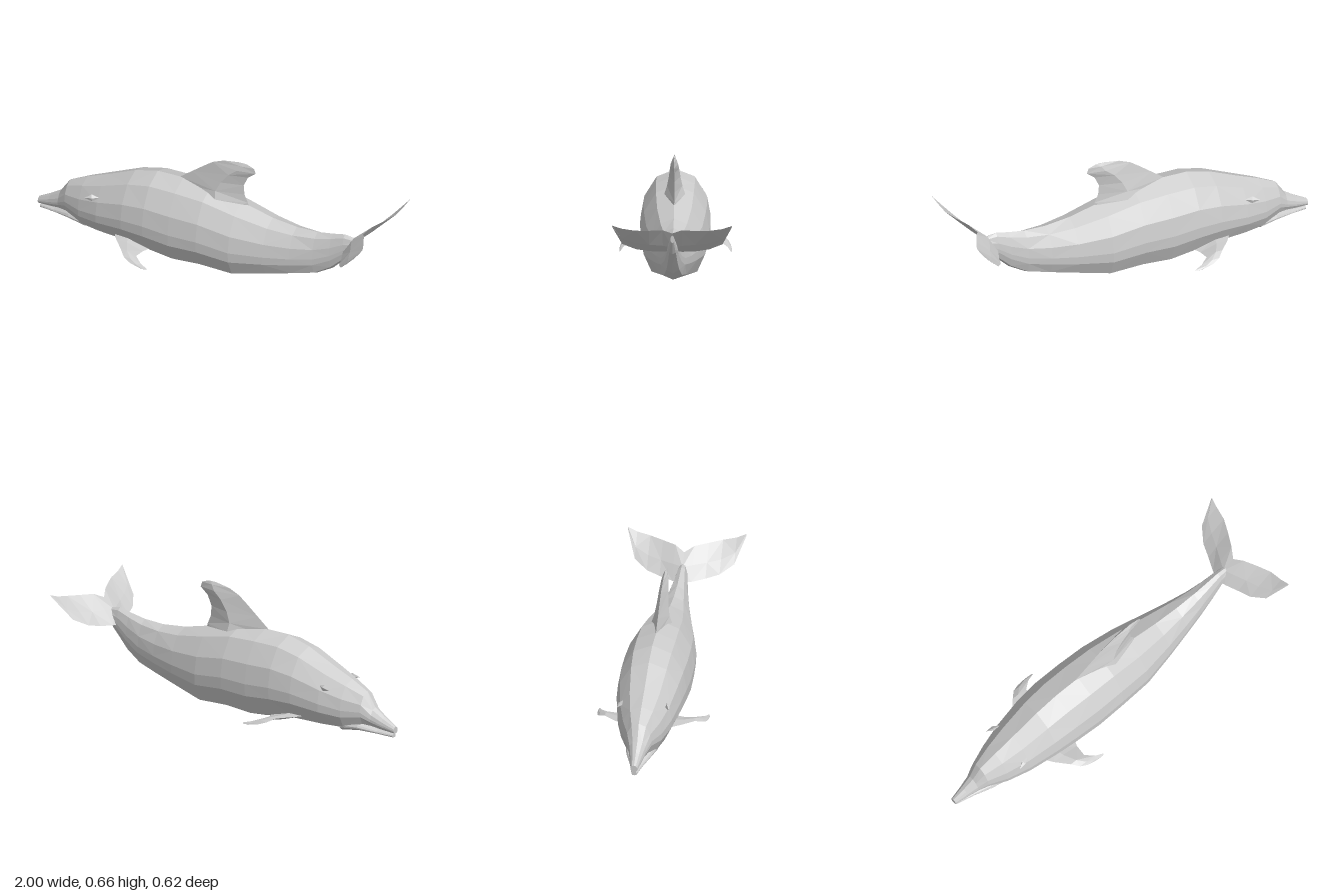
import * as THREE from 'three';

const skin = new THREE.MeshStandardMaterial({ color: 0xcccccc });
skin.name = 'grey skin';

// Closed faceted skin through rings of [x, y, z] points, with fan caps
function loft(name, rings) {
  const tris = [];
  const n = rings[0].length;
  for (let i = 0; i < rings.length - 1; i++) {
    for (let j = 0; j < n; j++) {
      const k = (j + 1) % n;
      const a = rings[i][j], b = rings[i][k], c = rings[i + 1][k], d = rings[i + 1][j];
      if ((i + j) % 2) tris.push([a, b, c], [a, c, d]);
      else tris.push([a, b, d], [b, c, d]);
    }
  }
  const first = rings[0], last = rings[rings.length - 1];
  for (let j = 1; j < n - 1; j++) {
    tris.push([first[0], first[j + 1], first[j]], [last[0], last[j], last[j + 1]]);
  }
  // Signed volume tells whether the faces point outward
  let volume = 0;
  for (const [a, b, c] of tris) {
    volume += new THREE.Vector3(...a).dot(new THREE.Vector3(...b).cross(new THREE.Vector3(...c)));
  }
  if (volume < 0) tris.forEach((t) => t.reverse());
  const geometry = new THREE.BufferGeometry();
  geometry.setAttribute('position', new THREE.Float32BufferAttribute(tris.flat(2), 3));
  geometry.computeVertexNormals();
  const mesh = new THREE.Mesh(geometry, skin);
  mesh.name = name;
  return mesh;
}

// Half cross-section as fractions of half width and height, keel to back
const HALF = [[0, 0], [0.73, 0.1], [0.98, 0.32], [1, 0.46], [0.9, 0.68], [0.55, 0.91], [0, 1]];

// Upright symmetric ring at x
function bodyRing([x, bottom, top, w]) {
  const side = HALF.map(([u, v]) => [x, bottom + v * (top - bottom), u * w]);
  const other = side.slice(1, -1).reverse().map(([px, py, pz]) => [px, py, -pz]);
  return [...side, ...other];
}

// Diamond ring between a leading and a trailing point of a horizontal fin
function finRing([z, lx, ly, tx, ty, t], side) {
  const mx = lx * 0.6 + tx * 0.4, my = ly * 0.6 + ty * 0.4;
  return [[lx, ly, z * side], [mx, my + t, z * side], [tx, ty, z * side], [mx, my - t, z * side]];
}

export function createModel() {
  const model = new THREE.Group();
  model.name = 'dolphin';

  // Body: x, bottom, top, half width
  model.add(loft('body', [
    [-1, 0.073, 0.11, 0.018], [-0.93, 0.078, 0.15, 0.032], [-0.87, 0.086, 0.19, 0.046],
    [-0.82, 0.085, 0.265, 0.068], [-0.72, 0.045, 0.315, 0.108], [-0.6, 0.042, 0.365, 0.142],
    [-0.44, 0.04, 0.437, 0.169], [-0.31, 0.025, 0.472, 0.18], [-0.16, 0.005, 0.476, 0.183],
    [0, 0.018, 0.466, 0.178], [0.18, 0.01, 0.425, 0.162], [0.36, 0.058, 0.382, 0.125],
    [0.5, 0.092, 0.367, 0.092], [0.62, 0.122, 0.372, 0.064], [0.71, 0.178, 0.388, 0.045],
    [0.78, 0.25, 0.404, 0.032], [0.84, 0.315, 0.393, 0.024], [0.88, 0.385, 0.425, 0.01],
  ].map(bodyRing)));

  // Lower jaw, set under the mouth line
  model.add(loft('lowerJaw', [
    [-0.99, 0.05, 0.07, 0.014], [-0.9, 0.056, 0.082, 0.035],
    [-0.8, 0.06, 0.11, 0.068], [-0.7, 0.044, 0.12, 0.085],
  ].map(bodyRing)));

  // Dorsal fin: y, front x, back x, half thickness
  model.add(loft('dorsalFin', [
    [0.37, -0.14, 0.23, 0.06], [0.43, -0.2, 0.215, 0.055], [0.475, -0.18, 0.195, 0.04],
    [0.53, -0.11, 0.19, 0.03], [0.585, -0.04, 0.215, 0.024], [0.622, 0.01, 0.26, 0.019],
    [0.65, 0.075, 0.25, 0.011], [0.665, 0.16, 0.21, 0.002],
  ].map(([y, f, b, t]) => {
    const m = f * 0.4 + b * 0.6;
    return [[f, y, 0], [m, y, t], [b, y, 0], [m, y, -t]];
  })));

  for (const side of [1, -1]) {
    const label = side > 0 ? 'left' : 'right';

    // Pectoral fin: z, leading x and y, trailing x and y, half thickness
    model.add(loft(label + 'Flipper', [
      [0.12, -0.5, 0.1, -0.29, 0.07, 0.016], [0.17, -0.465, 0.1, -0.31, 0.072, 0.012],
      [0.235, -0.405, 0.098, -0.315, 0.08, 0.008], [0.27, -0.37, 0.08, -0.27, 0.066, 0.005],
      [0.285, -0.33, 0.065, -0.225, 0.054, 0.003], [0.291, -0.28, 0.055, -0.235, 0.05, 0.001],
    ].map((s) => finRing(s, side))));

    // Tail fluke
    model.add(loft(label + 'Fluke', [
      [0, 0.775, 0.315, 0.885, 0.437, 0.02], [0.05, 0.79, 0.315, 0.915, 0.462, 0.014],
      [0.12, 0.818, 0.325, 0.95, 0.468, 0.009], [0.19, 0.842, 0.342, 0.98, 0.476, 0.006],
      [0.26, 0.89, 0.382, 0.99, 0.489, 0.004], [0.31, 0.995, 0.5, 1, 0.508, 0.001],
    ].map((s) => finRing(s, side))));

    // Eye with a small lid fold
    const eye = new THREE.Mesh(new THREE.OctahedronGeometry(1), skin);
    eye.name = label + 'Eye';
    eye.scale.set(0.04, 0.018, 0.012);
    eye.position.set(-0.63, 0.28, side * 0.124);
    eye.rotation.set(-side * 0.35, side * 0.25, 0.2);
    model.add(eye);
  }
  return model;
}
